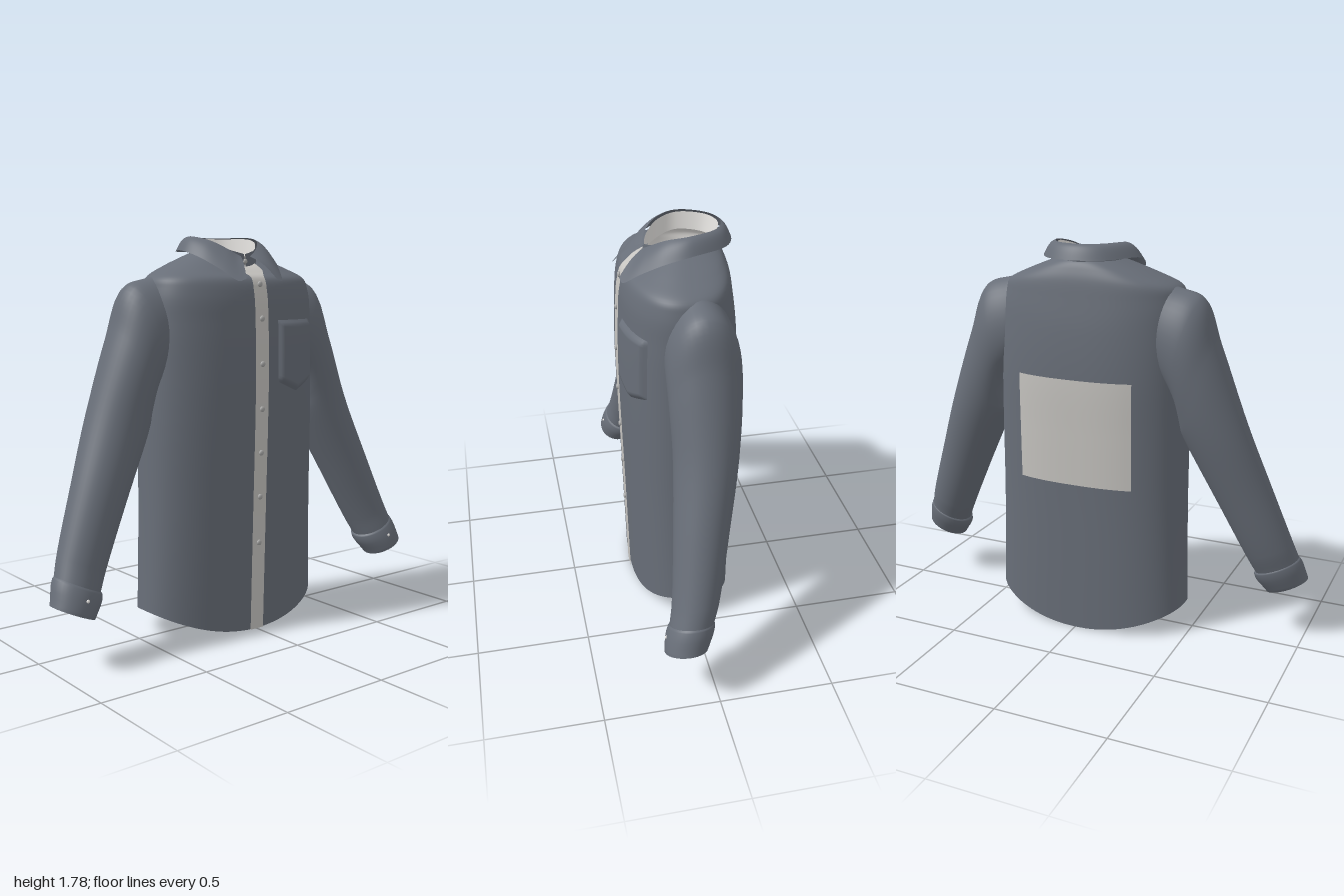
import * as THREE from 'three';
import { mergeVertices } from 'three/addons/utils/BufferGeometryUtils.js';

// Smooth surface from a rule (u, v) => [x, y, z]
function grid(nu, nv, fn, flip = false) {
  const pos = [], idx = [];
  for (let j = 0; j <= nv; j++) for (let i = 0; i <= nu; i++) pos.push(...fn(i / nu, j / nv));
  for (let j = 0; j < nv; j++) for (let i = 0; i < nu; i++) {
    const a = j * (nu + 1) + i, b = a + 1, c = a + nu + 1, d = c + 1;
    if (flip) idx.push(a, c, b, b, c, d);
    else idx.push(a, b, c, b, d, c);
  }
  let geo = new THREE.BufferGeometry();
  geo.setAttribute('position', new THREE.Float32BufferAttribute(pos, 3));
  geo.setIndex(idx);
  geo = mergeVertices(geo, 1e-5);
  geo.computeVertexNormals();
  return geo;
}

// Inward-facing copy, set slightly inside the outer cloth
function innerCopy(geo, depth = 0.004) {
  const g = geo.clone(), p = g.attributes.position, n = g.attributes.normal;
  for (let i = 0; i < p.count; i++) {
    p.setXYZ(i, p.getX(i) - n.getX(i) * depth, p.getY(i) - n.getY(i) * depth, p.getZ(i) - n.getZ(i) * depth);
  }
  g.setIndex(Array.from(geo.index.array).reverse());
  g.computeVertexNormals();
  return g;
}

// Smooth interpolation through rows; the first value of each row is its key
function spline(rows) {
  const times = rows.map(r => r[0]), size = rows[0].length - 1;
  const curve = new THREE.CubicInterpolant(times, rows.flatMap(r => r.slice(1)), size, new Array(size));
  const at = t => Array.from(curve.evaluate(t));
  const key = v => {
    const f = v * (times.length - 1), i = Math.min(Math.floor(f), times.length - 2);
    return times[i] + (times[i + 1] - times[i]) * (f - i);
  };
  return { at, key };
}

// Torso rings: side height, half width, front z, back z, front height, back height
const torso = spline([
  [0.12, 0.465, 0.215, -0.235, 0, 0],
  [0.3, 0.458, 0.222, -0.24, 0.25, 0.25],
  [0.6, 0.45, 0.232, -0.246, 0.6, 0.6],
  [0.95, 0.447, 0.243, -0.255, 0.95, 0.95],
  [1.2, 0.442, 0.247, -0.26, 1.2, 1.2],
  [1.4, 0.436, 0.242, -0.25, 1.4, 1.4],
  [1.55, 0.42, 0.23, -0.232, 1.54, 1.545],
  [1.6, 0.395, 0.212, -0.22, 1.59, 1.625],
  [1.645, 0.3, 0.175, -0.205, 1.615, 1.67],
  [1.685, 0.2, 0.135, -0.192, 1.635, 1.695],
  [1.705, 0.15, 0.108, -0.183, 1.645, 1.705],
]);
const POW = 2 / 2.4;
const soft = c => Math.sign(c) * Math.abs(c) ** POW;

function torsoPoint(angle, t) {
  const [hx, zf, zb, yf, yb] = torso.at(t);
  const c = soft(Math.cos(angle)), s = soft(-Math.sin(angle)), mid = (zf + zb) / 2;
  const yEnd = s > 0 ? yf : yb;
  return [hx * c, yEnd + (t - yEnd) * c * c, mid + s * (zf - zb) / 2];
}

// Point lying on the front (side 1) or back (side -1) of the torso, raised by off
function onTorso(x, t, side, off) {
  const hx = torso.at(t)[0];
  const c = Math.sign(x) * Math.min(1, Math.abs(x) / hx) ** (1 / POW);
  const p = torsoPoint(-side * Math.acos(c), t);
  return [p[0], p[1] + (t > 1.56 ? off : 0), p[2] + side * off];
}

// Sleeve rings: key, outer x y, inner x y, centre z, half depth, wrap onto the torso
const sleeveRings = spline([
  [0, 0.395, 1.6, 0.432, 1.12, -0.035, 0.15, 0.05],
  [0.4, 0.517, 1.56, 0.436, 1.06, -0.037, 0.157, 0.03],
  [1, 0.592, 1.37, 0.438, 0.99, -0.033, 0.152, 0],
  [2, 0.722, 1.02, 0.458, 0.915, -0.018, 0.137, 0],
  [3, 0.832, 0.73, 0.6, 0.635, 0.028, 0.117, 0],
  [4, 0.932, 0.465, 0.73, 0.375, 0.076, 0.1, 0],
  [4.4, 0.96, 0.385, 0.767, 0.3, 0.098, 0.094, 0],
]);
const cuffRings = spline([
  [0, 0.956, 0.39, 0.77, 0.305, 0.098, 0.091, 0],
  [0.15, 0.967, 0.381, 0.761, 0.289, 0.1, 0.099, 0],
  [1, 0.995, 0.295, 0.807, 0.212, 0.127, 0.095, 0],
  [1.15, 1.0, 0.28, 0.815, 0.2, 0.131, 0.091, 0],
]);
function tubePoint(rings, u, v, side) {
  const [ox, oy, ix, iy, zc, hz, wrap] = rings.at(rings.key(v));
  const a = u * Math.PI * 2, c = Math.cos(a), s = Math.sin(a);
  return [side * ((ox + ix) / 2 + c * (ox - ix) / 2 - wrap * s * s), (oy + iy) / 2 + c * (oy - iy) / 2, zc + s * hz];
}

// Curve around the neck, mirrored from points running back to front
function neckCurve(half) {
  const pts = half.map(p => new THREE.Vector3(...p));
  const other = pts.slice(1).reverse().map(p => new THREE.Vector3(-p.x, p.y, p.z));
  return new THREE.CatmullRomCurve3([...other, ...pts]);
}
const between = (a, b, bulge) => (u, v) => {
  const p = a.getPoint(u).lerp(b.getPoint(u), v);
  return [p.x, p.y + bulge * Math.sin(Math.PI * v), p.z];
};

export function createModel() {
  const model = new THREE.Group();
  model.name = 'shirt';
  const material = (name, color, side = THREE.FrontSide) => {
    const m = new THREE.MeshStandardMaterial({ color, side });
    m.name = name;
    return m;
  };
  const cloth = material('slate cloth', 0x686e78, THREE.DoubleSide);
  const clothOuter = cloth.clone();
  clothOuter.side = THREE.FrontSide;
  const lining = material('pale lining', 0xe6e4e1);
  const trim = material('light grey trim', 0xc6c4c0, THREE.DoubleSide);
  const buttonGrey = material('button grey', 0xa9a9a8);
  const add = (name, geo, mat) => {
    const m = new THREE.Mesh(geo, mat);
    m.name = name;
    model.add(m);
    return m;
  };
  const addLined = (name, geo) => {
    add(name, geo, clothOuter);
    add(name + 'Lining', innerCopy(geo), lining);
  };

  // Torso with curved hem and neck hole
  addLined('torso', grid(96, 60, (u, v) => torsoPoint(u * Math.PI * 2, torso.key(v))));

  // Sleeves and cuffs
  for (const side of [1, -1]) {
    const label = side > 0 ? 'left' : 'right';
    addLined(label + 'Sleeve', grid(40, 48, (u, v) => tubePoint(sleeveRings, u, v, side), side < 0));
    addLined(label + 'Cuff', grid(40, 12, (u, v) => tubePoint(cuffRings, u, v, side), side < 0));
    const stud = add(label + 'CuffButton', new THREE.SphereGeometry(0.009, 12, 8), lining);
    stud.position.set(side * 0.88, 0.3, 0.208);
  }

  // Button strip, flaring at the throat
  add('buttonStrip', grid(8, 70, (u, v) => {
    const t = torso.key(v);
    const w = 0.037 + 0.033 * THREE.MathUtils.smoothstep(t, 1.6, 1.67);
    return onTorso((u * 2 - 1) * w, t, 1, 0.006);
  }), trim);
  for (const y of [1.57, 1.42, 1.22, 1.02, 0.82, 0.62, 0.43]) {
    const b = add('button', new THREE.SphereGeometry(0.013, 16, 10), buttonGrey);
    b.position.set(...onTorso(0, y, 1, 0.008));
    b.scale.z = 0.6;
  }

  // Chest pocket with a pointed bottom
  add('chestPocket', grid(28, 28, (u, v) => {
    const bottom = 1.135 - 0.048 * (1 - Math.abs(2 * u - 1));
    const edge = Math.min(u, 1 - u, v, 1 - v);
    return onTorso(0.1 + 0.24 * u, bottom + (1.41 - bottom) * v, 1, 0.001 + 0.018 * Math.min(1, edge * 14));
  }), cloth);

  // Plain panel on the back
  add('backPanel', grid(24, 20, (u, v) => onTorso((u * 2 - 1) * 0.27, 0.71 + 0.49 * v, -1, 0.005), true), trim);

  // Collar stand and folded leaf
  const fold = neckCurve([[0, 1.78, -0.205], [0.1, 1.78, -0.168], [0.16, 1.778, -0.04], [0.132, 1.758, 0.05],
    [0.08, 1.722, 0.105], [0.045, 1.7, 0.122], [0.025, 1.69, 0.13]]);
  const outer = neckCurve([[0, 1.715, -0.25], [0.135, 1.715, -0.205], [0.222, 1.715, -0.04], [0.21, 1.685, 0.07],
    [0.165, 1.63, 0.17], [0.122, 1.582, 0.238], [0.085, 1.592, 0.245]]);
  const standTop = neckCurve([[0, 1.775, -0.198], [0.1, 1.775, -0.16], [0.153, 1.772, -0.04], [0.126, 1.75, 0.05],
    [0.075, 1.72, 0.1], [0.035, 1.708, 0.118], [0.003, 1.7, 0.125]]);
  const standBase = neckCurve([[0, 1.695, -0.186], [0.1, 1.695, -0.152], [0.149, 1.695, -0.04], [0.125, 1.67, 0.05],
    [0.075, 1.645, 0.107], [0.035, 1.636, 0.124], [0.003, 1.632, 0.13]]);
  add('collarLeaf', grid(80, 10, between(fold, outer, 0.014)), cloth);
  const stand = grid(80, 6, between(standBase, standTop, 0), true);
  stand.computeBoundingBox();
  // Turn the outside of the stand away from the neck
  const n = stand.attributes.normal, p = stand.attributes.position;
  let facing = 0;
  for (let i = 0; i < p.count; i++) facing += n.getX(i) * p.getX(i) + n.getZ(i) * (p.getZ(i) + 0.04);
  const standOuter = facing > 0 ? stand : innerCopy(stand, 0);
  addLined('collarStand', standOuter);
  const collarButton = add('collarButton', new THREE.SphereGeometry(0.011, 14, 10), buttonGrey);
  collarButton.position.set(0, 1.668, 0.13);
  collarButton.scale.z = 0.6;

  return model;
}
